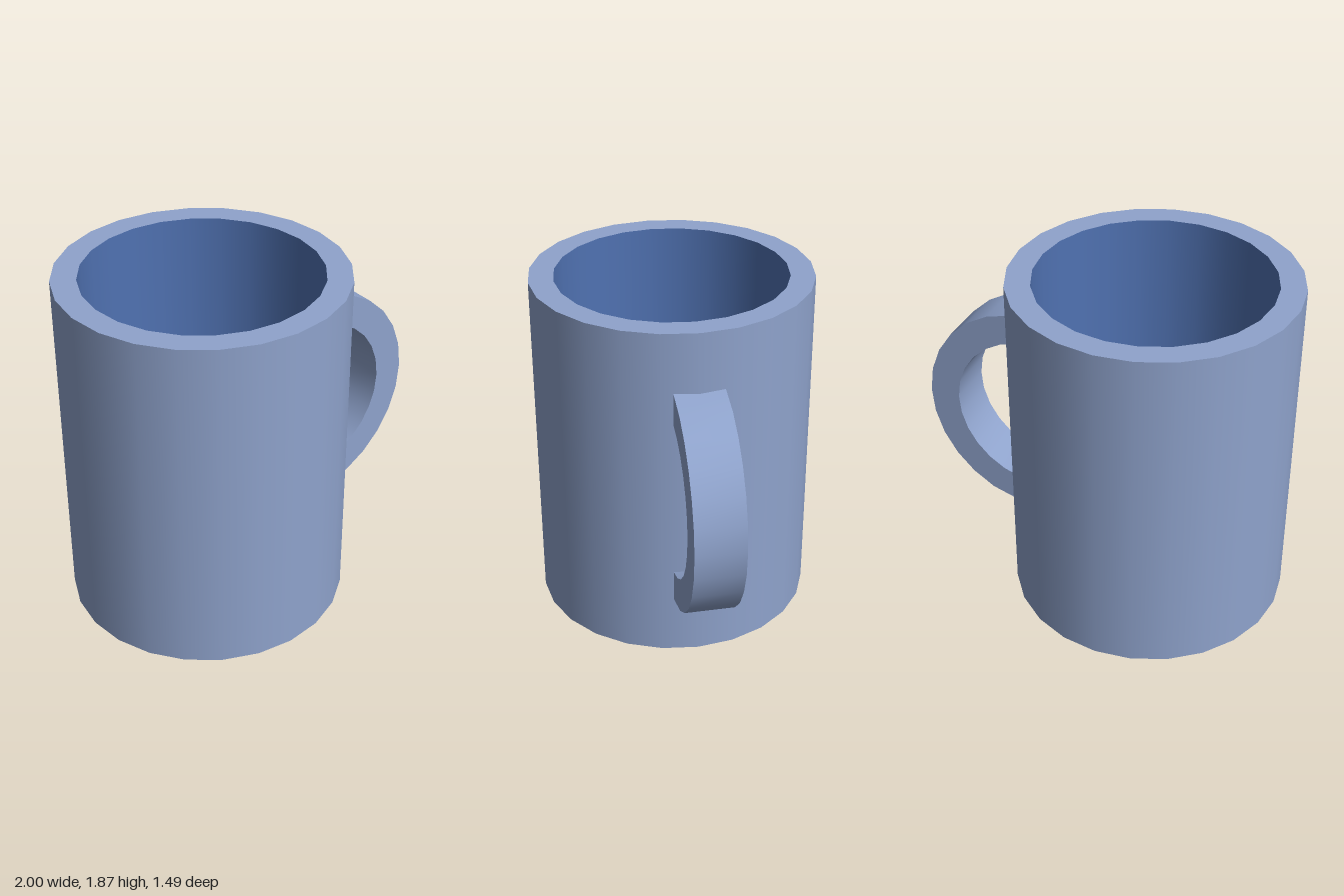
import * as THREE from 'three';
import { toCreasedNormals } from 'three/addons/utils/BufferGeometryUtils.js';

const SIDES = 24, OUTER = 0.743, INNER = 0.613, HEIGHT = 1.865, FLOOR = 0.13;

export function createModel() {
  const glaze = new THREE.MeshStandardMaterial({ name: 'paleBlueGlaze', color: 0x8fa3cc });
  const lining = new THREE.MeshStandardMaterial({ name: 'deepBlueLining', color: 0x5072b2 });

  const model = new THREE.Group();
  model.name = 'mug';
  const cup = new THREE.Group();
  cup.name = 'cup';
  cup.position.x = -0.257;
  model.add(cup);

  const add = (parent, name, geometry, material, y = 0) => {
    const mesh = new THREE.Mesh(geometry, material);
    mesh.name = name;
    mesh.position.y = y;
    parent.add(mesh);
    return mesh;
  };

  // Outer wall, base and rim
  add(cup, 'outerWall', new THREE.CylinderGeometry(OUTER, OUTER, HEIGHT, SIDES, 1, true), glaze, HEIGHT / 2);
  add(cup, 'base', new THREE.CircleGeometry(OUTER, SIDES).rotateX(Math.PI / 2), glaze);
  add(cup, 'rim', new THREE.RingGeometry(INNER, OUTER, SIDES).rotateX(-Math.PI / 2), glaze, HEIGHT);

  // Inner wall faces inwards: a mirrored profile order turns the lathe inside out
  const innerProfile = [new THREE.Vector2(INNER, HEIGHT), new THREE.Vector2(INNER, FLOOR)];
  add(cup, 'innerWall', new THREE.LatheGeometry(innerProfile, SIDES), lining);
  add(cup, 'innerFloor', new THREE.CircleGeometry(INNER, SIDES).rotateX(-Math.PI / 2), lining, FLOOR);

  // Handle: a C-shaped band whose ends are cut upright just inside the wall
  const cx = 0.378, cy = 0.935, cutX = 0.455, step = 0.229;
  const arc = (radius) => {
    const end = Math.acos((cutX - cx) / radius);
    const angles = [-end];
    for (let k = -5; k <= 5; k++) angles.push(k * step + 0.015);
    angles.push(end);
    return angles.map((a) => new THREE.Vector2(cx + radius * Math.cos(a), cy + radius * Math.sin(a)));
  };
  const band = new THREE.Shape([...arc(0.62), ...arc(0.45).reverse()]);
  const width = 0.26;
  const handle = new THREE.ExtrudeGeometry(band, { depth: width, bevelEnabled: false });
  handle.translate(0, 0, -width / 2);
  add(model, 'handle', toCreasedNormals(handle, 0.6), glaze);

  return model;
}
